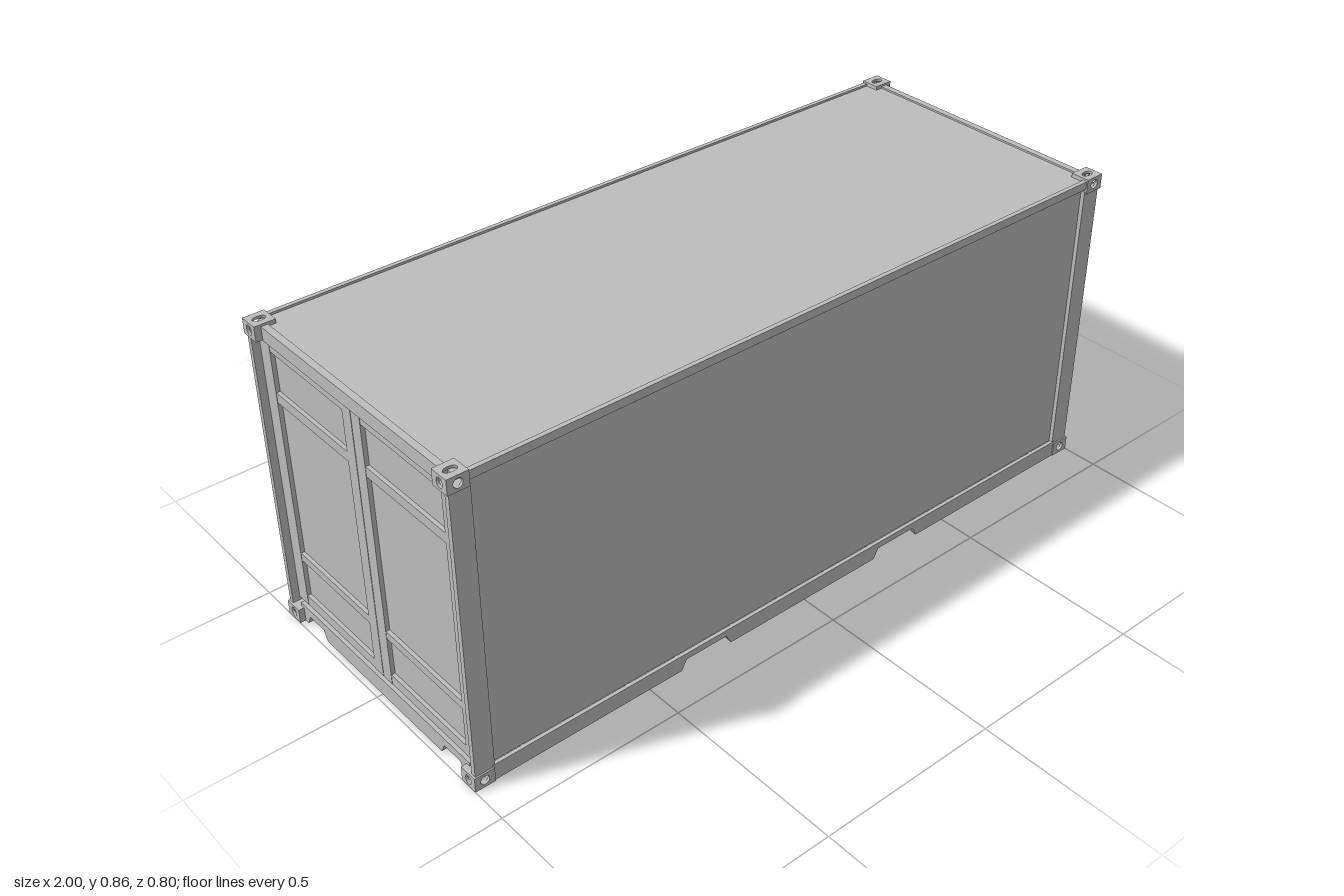
import * as THREE from 'three';

const steel = new THREE.MeshStandardMaterial({ color: 0xbdbdbd });
steel.name = 'grey steel';

function add(parent, name, geo) {
  const m = new THREE.Mesh(geo, steel);
  m.name = name;
  parent.add(m);
  return m;
}

// box given by its min / max on each axis (in either order)
function box(parent, name, x0, x1, y0, y1, z0, z1) {
  const g = new THREE.BoxGeometry(Math.abs(x1 - x0), Math.abs(y1 - y0), Math.abs(z1 - z0));
  g.translate((x0 + x1) / 2, (y0 + y1) / 2, (z0 + z1) / 2);
  return add(parent, name, g);
}

// upright rail of half length L with two trapezoid fork notches at +-c in its lower edge
function notchedRail(L, h, depth, c, halfBottom, halfTop, notchH) {
  const s = new THREE.Shape();
  s.moveTo(-L, 0);
  for (const k of [-c, c]) {
    s.lineTo(k - halfBottom, 0);
    s.lineTo(k - halfTop, notchH);
    s.lineTo(k + halfTop, notchH);
    s.lineTo(k + halfBottom, 0);
  }
  s.lineTo(L, 0);
  s.lineTo(L, h);
  s.lineTo(-L, h);
  s.closePath();
  return new THREE.ExtrudeGeometry(s, { depth, bevelEnabled: false }).translate(0, 0, -depth / 2);
}

// flat wall of a corner casting, centred, facing +z, with an optional oval hole
function castingWall(w, h, t, rx, ry) {
  const s = new THREE.Shape();
  s.moveTo(-w / 2, -h / 2);
  s.lineTo(w / 2, -h / 2);
  s.lineTo(w / 2, h / 2);
  s.lineTo(-w / 2, h / 2);
  s.closePath();
  if (rx) {
    const hole = new THREE.Path();
    hole.absellipse(0, 0, rx, ry, 0, Math.PI * 2, true);
    s.holes.push(hole);
  }
  return new THREE.ExtrudeGeometry(s, { depth: t, bevelEnabled: false, curveSegments: 10 }).translate(0, 0, -t);
}

// hollow corner block with holes on its three outward faces
function cornerCasting(sx, sy, sz) {
  const g = new THREE.Group();
  g.name = 'cornerCasting';
  const W = 0.055, H = 0.04, D = 0.052, t = 0.007;
  for (const s of [-1, 1]) {
    const x = add(g, 'castingEndWall', castingWall(D, H, t, s === sx ? 0.011 : 0, 0.013));
    x.rotation.y = s * Math.PI / 2;
    x.position.x = s * W / 2;
    const y = add(g, 'castingCapWall', castingWall(W, D, t, s === sy ? 0.017 : 0, 0.01));
    y.rotation.x = -s * Math.PI / 2;
    y.position.y = s * H / 2;
    const z = add(g, 'castingSideWall', castingWall(W, H, t, s === sz ? 0.012 : 0, 0.012));
    z.rotation.y = s > 0 ? 0 : Math.PI;
    z.position.z = s * D / 2;
  }
  g.position.set(sx * (1 - W / 2), sy > 0 ? 0.855 - H / 2 : H / 2, sz * (0.4 - D / 2));
  return g;
}

// end wall with two framed leaves, built facing +x
function endWall() {
  const g = new THREE.Group();
  g.name = 'endWall';
  box(g, 'endPanel', 0.955, 0.965, 0.05, 0.815, -0.384, 0.384);
  for (const s of [-1, 1]) {
    box(g, 'leafOuterStile', 0.96, 0.976, 0.052, 0.81, s * 0.338, s * 0.38);
    box(g, 'leafInnerStile', 0.96, 0.976, 0.052, 0.81, s * 0.001, s * 0.036);
    for (const [y0, y1] of [[0.052, 0.08], [0.19, 0.212], [0.648, 0.675], [0.785, 0.81]])
      box(g, 'leafCrossRail', 0.96, 0.975, y0, y1, s * 0.036, s * 0.338);
  }
  box(g, 'header', 0.965, 0.983, 0.812, 0.849, -0.36, 0.36);
  const sill = add(g, 'sill', notchedRail(0.36, 0.05, 0.025, 0.29, 0.045, 0.031, 0.027));
  sill.rotation.y = Math.PI / 2;
  sill.position.x = 0.972;
  return g;
}

// locking rods, their brackets and the hinges on the door end
function doorHardware() {
  const g = new THREE.Group();
  g.name = 'doorHardware';
  const rodX = 0.989;
  for (const z of [0.241, 0.0755, -0.0755, -0.241]) {
    const rod = add(g, 'lockingRod', new THREE.CylinderGeometry(0.0045, 0.0045, 0.818, 12));
    rod.position.set(rodX, 0.429, z);
    for (const y of [0.066, 0.197, 0.662, 0.793]) {
      box(g, 'rodBracket', 0.974, 0.982, y - 0.01, y + 0.01, z - 0.031, z + 0.031);
      box(g, 'rodClamp', 0.98, 0.997, y - 0.008, y + 0.008, z - 0.009, z + 0.009);
      for (const s of [-1, 1]) {
        const bolt = add(g, 'bracketBolt', new THREE.CylinderGeometry(0.003, 0.003, 0.003, 8));
        bolt.rotation.z = Math.PI / 2;
        bolt.position.set(0.983, y, z + s * 0.021);
      }
    }
  }
  for (const s of [-1, 1])
    for (const y of [0.173, 0.336, 0.522, 0.685]) {
      box(g, 'hingeLeaf', 0.974, 0.981, y - 0.013, y + 0.013, s * 0.357, s * 0.382);
      const pin = add(g, 'hingePin', new THREE.CylinderGeometry(0.006, 0.006, 0.027, 10));
      pin.position.set(0.981, y, s * 0.382);
    }
  return g;
}

export function createModel() {
  const model = new THREE.Group();
  model.name = 'cargoContainer';

  // shell
  box(model, 'roof', -0.97, 0.97, 0.835, 0.844, -0.388, 0.388);
  box(model, 'floor', -0.965, 0.965, 0.042, 0.052, -0.38, 0.38);
  for (const s of [-1, 1]) {
    box(model, 'sidePanel', -0.95, 0.95, 0.045, 0.835, s * 0.375, s * 0.385);
    box(model, 'topRail', -0.95, 0.95, 0.828, 0.85, s * 0.385, s * 0.397);
    const rail = add(model, 'bottomRail', notchedRail(0.95, 0.046, 0.01, 0.323, 0.078, 0.063, 0.028));
    rail.position.z = s * 0.392;
    for (const [x0, x1] of [[-0.945, -0.402], [-0.244, 0.244], [0.402, 0.945]])
      box(model, 'bottomRailFlange', x0, x1, 0, 0.006, s * 0.365, s * 0.39);
    for (const e of [-1, 1])
      box(model, 'cornerPost', e * 0.942, e * 0.995, 0.035, 0.82, s * 0.382, s * 0.396);
  }

  // underside crossmembers, leaving the fork pockets clear
  for (const s of [-1, 1])
    for (const x of [0.08, 0.235, 0.41, 0.56, 0.71, 0.86]) {
      box(model, 'crossmemberWeb', s * x - 0.004, s * x + 0.004, 0.012, 0.045, -0.388, 0.388);
      box(model, 'crossmemberFlange', s * x - 0.011, s * x + 0.011, 0.008, 0.014, -0.388, 0.388);
    }

  // ends
  const doors = endWall();
  doors.name = 'doors';
  model.add(doors, doorHardware());
  const plainEnd = endWall();
  plainEnd.name = 'plainEnd';
  plainEnd.rotation.y = Math.PI;
  model.add(plainEnd);

  for (const sx of [-1, 1])
    for (const sy of [-1, 1])
      for (const sz of [-1, 1]) model.add(cornerCasting(sx, sy, sz));

  return model;
}
